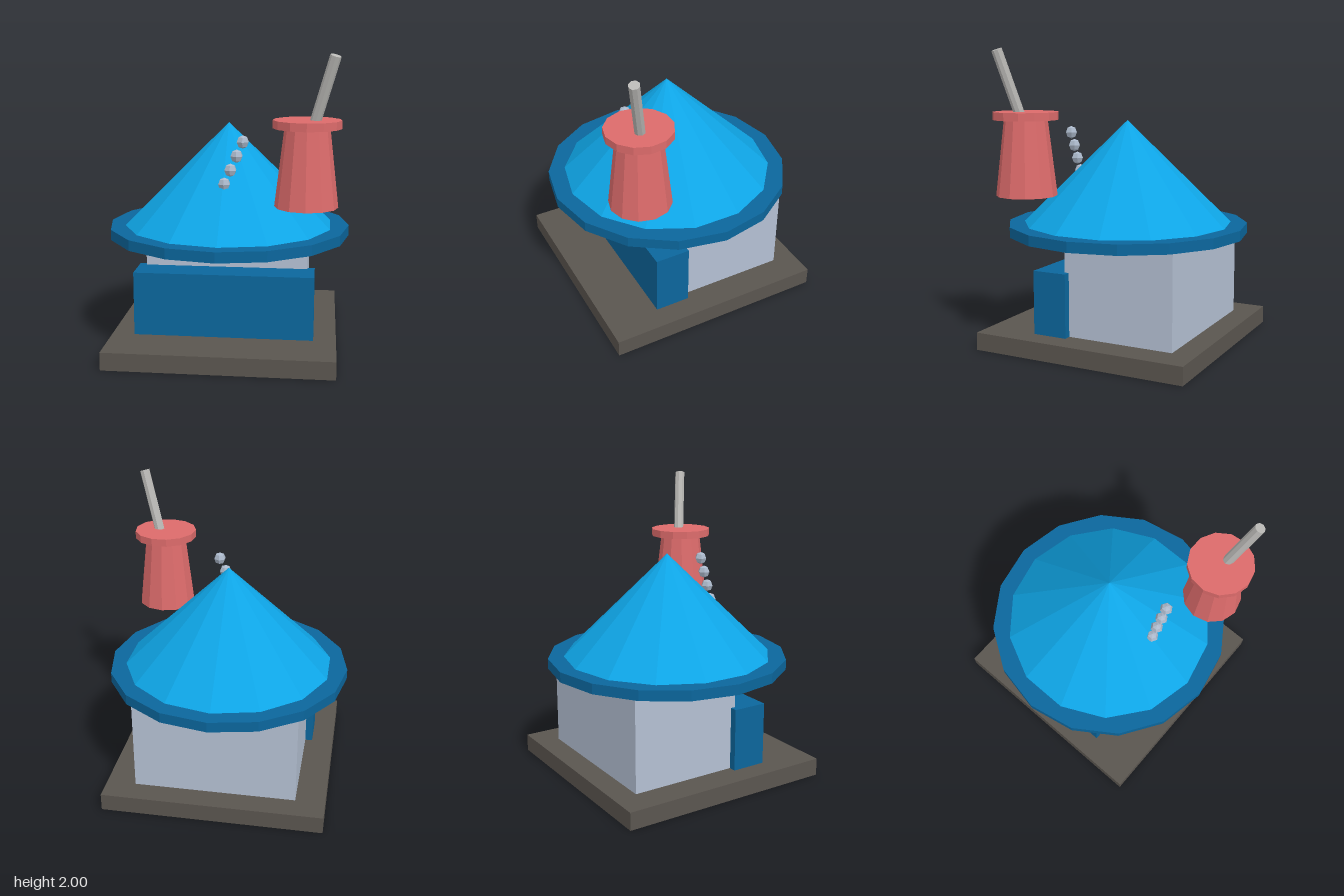
import * as THREE from 'three';

const mat = (name, color) => {
  const m = new THREE.MeshStandardMaterial({ color, flatShading: true });
  m.name = name;
  return m;
};

export function createModel() {
  const stone = mat('dark stone', 0x5a554f);
  const wall = mat('pale wall', 0xb4c0d3);
  const deepBlue = mat('deep blue', 0x0b669c);
  const skyBlue = mat('sky blue', 0x0ea5e6);
  const red = mat('soft red', 0xdc6b6b);
  const grey = mat('straw grey', 0xb9b8b5);
  const silver = mat('bead silver', 0xabb8ca);

  const model = new THREE.Group();
  model.name = 'kiosk';
  const add = (name, geometry, material, x, y, z, parent = model) => {
    const mesh = new THREE.Mesh(geometry, material);
    mesh.name = name;
    mesh.position.set(x, y, z);
    parent.add(mesh);
    return mesh;
  };

  // Hut: slab, walls and front counter
  add('baseSlab', new THREE.BoxGeometry(1.5, 0.12, 1.5), stone, 0, 0.06, 0);
  add('walls', new THREE.BoxGeometry(1.1, 0.64, 0.77), wall, 0, 0.44, -0.205);
  add('counter', new THREE.BoxGeometry(1.2, 0.43, 0.24), deepBlue, 0, 0.335, 0.27);

  // Roof: flat brim under a faceted cone
  add('roofBrim', new THREE.CylinderGeometry(0.825, 0.825, 0.07, 16), deepBlue, 0, 0.785, 0);
  add('roofCone', new THREE.ConeGeometry(0.715, 0.7, 14), skyBlue, 0, 1.17, 0);

  // Cup with lid and tilted straw
  const cup = new THREE.Group();
  cup.name = 'cup';
  cup.position.set(0.54, 0, 0.47);
  model.add(cup);
  add('cupBody', new THREE.CylinderGeometry(0.143, 0.202, 0.5, 12), red, 0, 1.29, 0, cup);
  add('cupLid', new THREE.CylinderGeometry(0.217, 0.217, 0.052, 13), red, 0, 1.564, 0, cup);

  const from = new THREE.Vector3(0.04, 1.55, 0.01);
  const to = new THREE.Vector3(0.165, 1.988, 0.103);
  const axis = to.clone().sub(from);
  const straw = add('straw', new THREE.CylinderGeometry(0.035, 0.035, axis.length(), 8), grey, 0, 0, 0, cup);
  straw.position.copy(from).add(to).multiplyScalar(0.5);
  straw.quaternion.setFromUnitVectors(new THREE.Vector3(0, 1, 0), axis.normalize());

  // Row of beads rising from the roof
  const bead = new THREE.SphereGeometry(0.043, 6, 4).rotateY(Math.PI / 6);
  for (let i = 0; i < 4; i++) {
    add('bead' + (i + 1), bead, silver, 0.008 + i * 0.04, 1.157 + i * 0.092, 0.37);
  }
  return model;
}
